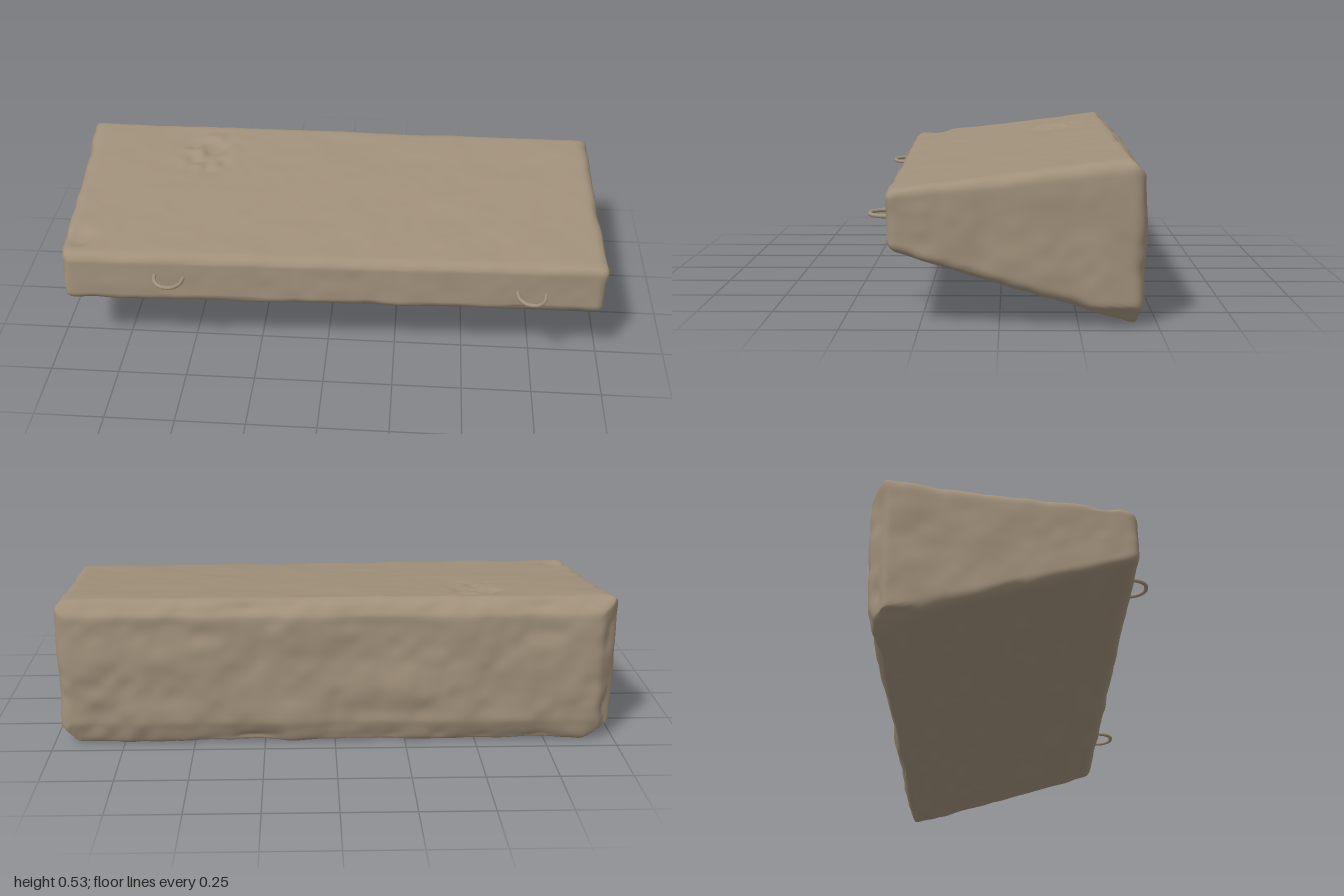
import * as THREE from 'three';
import { mergeVertices } from 'three/addons/utils/BufferGeometryUtils.js';

const { lerp, clamp, smoothstep } = THREE.MathUtils;

// Seeded lattice noise in -1..1
function hash(x, y, z) {
  let h = Math.imul(x, 374761393) ^ Math.imul(y, 668265263) ^ Math.imul(z, 1274126177);
  h = Math.imul(h ^ (h >>> 13), 1103515245);
  return ((h ^ (h >>> 16)) >>> 0) / 2147483648 - 1;
}
function noise(x, y, z) {
  const i = [x, y, z].map(Math.floor);
  const f = [x - i[0], y - i[1], z - i[2]].map(t => t * t * (3 - 2 * t));
  let sum = 0;
  for (let c = 0; c < 8; c++) {
    const b = [c & 1, (c >> 1) & 1, c >> 2];
    const w = b.reduce((p, on, k) => p * (on ? f[k] : 1 - f[k]), 1);
    sum += w * hash(i[0] + b[0], i[1] + b[1], i[2] + b[2]);
  }
  return sum;
}

// Broken corners: plane normal and distance beyond which the stone is cut back
const chips = [
  [[-0.707, 0, -0.707], 0.985],
  [[-0.45, -0.89, 0], 0.38],
  [[0.7, -0.7, 0], 0.628],
  [[0, -0.4, -0.917], 0.385],
  [[0, 0.707, -0.707], 0.675],
].map(([n, d]) => ({ n: new THREE.Vector3(...n).normalize(), d }));

// Round the edges of a unit box point, then taper it into the wedge
function shapeBlock(p) {
  const depth = 0.5 - p.z / 2;                      // 0 front, 1 back
  const height = lerp(0.19, 0.55, depth);
  const half = [1, height / 2, 0.43];
  const r = lerp(0.03, 0.045, depth);
  const q = p.toArray().map((v, k) => v * half[k]);
  const inner = q.map((v, k) => clamp(v, r - half[k], half[k] - r));
  const d = new THREE.Vector3(...q.map((v, k) => v - inner[k])).normalize();
  const u = inner.map((v, k) => (v + r * d.getComponent(k)) / half[k]);

  const back = 0.5 - u[2] / 2, right = 0.5 + u[0] / 2;
  const bottom = lerp(0.265, 0.008, back), top = lerp(0.455, 0.555, back);
  p.set(
    lerp(lerp(-0.945, -0.998, back), lerp(0.998, 0.972, back), right),
    lerp(bottom, top, 0.5 + u[1] / 2),
    lerp(-0.463, lerp(0.4, 0.35, right), 1 - back),
  );

  for (const { n, d: limit } of chips) {
    const over = p.dot(n) - limit;
    if (over > 0) p.addScaledVector(n, -over * 0.85);
  }

  // Weathering, strongest on the back and along the edges
  const { x, y, z } = p;
  const edge = Math.max(Math.abs(d.x * d.y), Math.abs(d.x * d.z), Math.abs(d.y * d.z));
  const rough = 0.003 + 0.006 * Math.max(0, -d.z) + 0.006 * edge + 0.002 * Math.abs(d.x);
  let bump = rough * (noise(x * 7, y * 9, z * 9) + 0.5 * noise(x * 19 + 5, y * 21, z * 21)) - rough * 0.4;
  // Pitted patch and a chipped front corner on the top
  if (d.y > 0.3) {
    const patch = 1 - smoothstep(Math.hypot(x + 0.5, z + 0.24), 0.04, 0.18);
    bump += patch * 0.012 * (noise(x * 32, 2, z * 32) - 0.3);
    bump -= 0.015 * (1 - smoothstep(Math.hypot(x + 0.9, z - 0.29), 0.02, 0.07));
  }
  p.addScaledVector(d, bump);
  p.y = Math.max(p.y, 0);
}

function stoneBlock() {
  const geo = new THREE.BoxGeometry(2, 2, 2, 130, 40, 60);
  geo.deleteAttribute('uv');
  geo.deleteAttribute('normal');
  const merged = mergeVertices(geo, 1e-5);
  const pos = merged.attributes.position;
  const p = new THREE.Vector3();
  for (let i = 0; i < pos.count; i++) {
    p.fromBufferAttribute(pos, i);
    shapeBlock(p);
    pos.setXYZ(i, p.x, p.y, p.z);
  }
  merged.computeVertexNormals();
  return merged;
}

// U-shaped wire loop standing out of the front face
function loopGeometry(reach) {
  const w = 0.05;
  const pts = [[-w, -0.04], [-w, 0.01], [-w * 0.85, reach * 0.6], [-w * 0.4, reach * 0.95], [0, reach],
    [w * 0.4, reach * 0.95], [w * 0.85, reach * 0.6], [w, 0.01], [w, -0.04]];
  const curve = new THREE.CatmullRomCurve3(pts.map(([x, z]) => new THREE.Vector3(x, 0, z)));
  return new THREE.TubeGeometry(curve, 40, 0.007, 10);
}

export function createModel() {
  const group = new THREE.Group();
  group.name = 'stoneBlockWithLoops';
  const stone = new THREE.MeshStandardMaterial({ color: 0xa0907a });
  stone.name = 'stone';

  const block = new THREE.Mesh(stoneBlock(), stone);
  block.name = 'block';
  group.add(block);

  // Lifting loops
  for (const [name, x, y, z, reach, tilt] of [
    ['rightLoop', -0.56, 0.376, 0.39, 0.068, -0.1],
    ['leftLoop', 0.733, 0.344, 0.355, 0.069, -0.07],
  ]) {
    const loop = new THREE.Mesh(loopGeometry(reach), stone);
    loop.name = name;
    loop.position.set(x, y, z);
    loop.rotation.z = tilt;
    group.add(loop);
  }
  return group;
}
